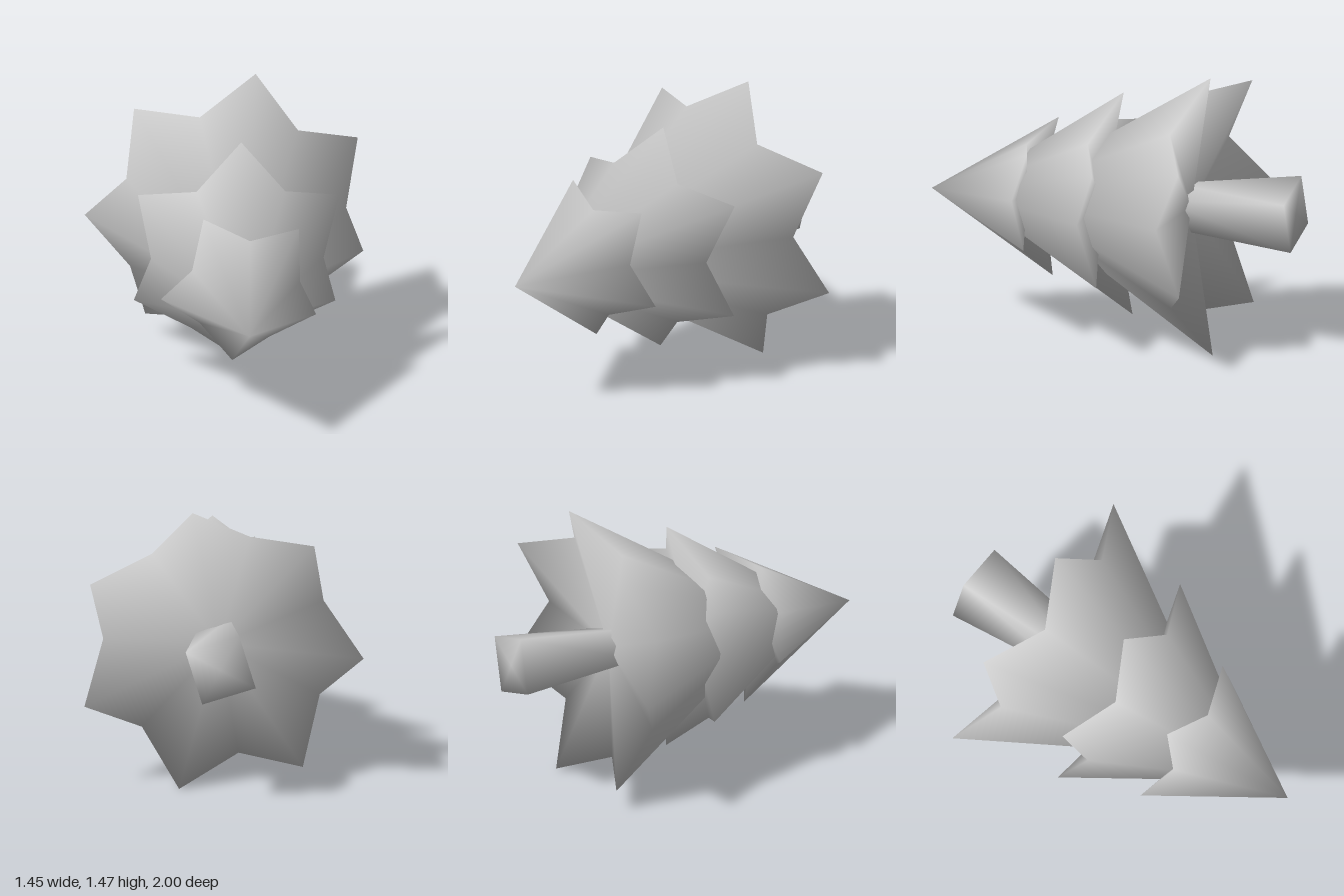
import * as THREE from 'three';
import { mergeVertices } from 'three/addons/utils/BufferGeometryUtils.js';

// The tree lies along z, tip forward, with a very slight tilt.
const TILT = 0.025;
const axisY = (z) => 0.715 - TILT * z;

// Each tier: rim as alternating tip / notch [x, y] points, clockwise from the front
const tiers = [
  {
    name: 'lowerBranches', apexZ: 0.62, tipZ: -0.6, notchZ: -0.445,
    rim: [[-0.47, 1.29], [-0.14, 1.3], [0.16, 1.47], [0.37, 1.21], [0.69, 1.09], [0.62, 0.76], [0.72, 0.44],
      [0.42, 0.29], [0.23, 0], [-0.08, 0.15], [-0.41, 0.115], [-0.5, 0.46], [-0.725, 0.69], [-0.52, 0.96]],
  },
  {
    name: 'middleBranches', apexZ: 0.84, tipZ: -0.08, notchZ: 0.045,
    rim: [[-0.485, 1.03], [-0.19, 1.095], [0.05, 1.315], [0.27, 1.085], [0.56, 1.0], [0.47, 0.7],
      [0.54, 0.395], [0.25, 0.325], [0, 0.11], [-0.22, 0.32], [-0.505, 0.43], [-0.425, 0.72]],
  },
  {
    name: 'topBranches', apexZ: 1, tipZ: 0.363, notchZ: 0.455,
    rim: [[-0.175, 1.08], [0.06, 0.99], [0.32, 1.01], [0.32, 0.75], [0.41, 0.52],
      [0.16, 0.44], [-0.025, 0.27], [-0.2, 0.53], [-0.395, 0.63], [-0.24, 0.83]],
  },
];

// Star-rimmed cone with a closed underside, smooth-shaded across the rim
function tierGeometry({ apexZ, tipZ, notchZ, rim }) {
  const n = rim.length;
  const positions = [];
  const index = [];
  rim.forEach(([x, y], i) => {
    positions.push(x, y, (i % 2 ? notchZ : tipZ) + TILT * (y - 0.715));
    const next = (i + 1) % n;
    index.push(n, next, i, n + 1, i, next);
  });
  const baseZ = notchZ + 0.02;
  positions.push(0.02, axisY(apexZ), apexZ, 0.02, axisY(baseZ), baseZ);
  const geometry = new THREE.BufferGeometry();
  geometry.setAttribute('position', new THREE.Float32BufferAttribute(positions, 3));
  geometry.setIndex(index);
  geometry.computeVertexNormals();
  return geometry;
}

// Four-sided trunk, widening towards its foot
function trunkGeometry() {
  let geometry = new THREE.CylinderGeometry(0.117, 0.205, 0.7, 4);
  geometry.deleteAttribute('uv');
  geometry.deleteAttribute('normal');
  geometry = mergeVertices(geometry);
  geometry.rotateX(Math.PI / 2);
  geometry.rotateZ(Math.atan2(0.095, 0.18));
  geometry.rotateX(TILT);
  geometry.translate(0.02, axisY(-0.65), -0.65);
  geometry.computeVertexNormals();
  return geometry;
}

export function createModel() {
  const tree = new THREE.Group();
  tree.name = 'tree';
  const grey = new THREE.MeshStandardMaterial({ color: 0xcccccc });
  grey.name = 'light grey';

  const add = (name, geometry) => {
    const mesh = new THREE.Mesh(geometry, grey);
    mesh.name = name;
    tree.add(mesh);
  };
  tiers.forEach((tier) => add(tier.name, tierGeometry(tier)));
  add('trunk', trunkGeometry());
  return tree;
}
